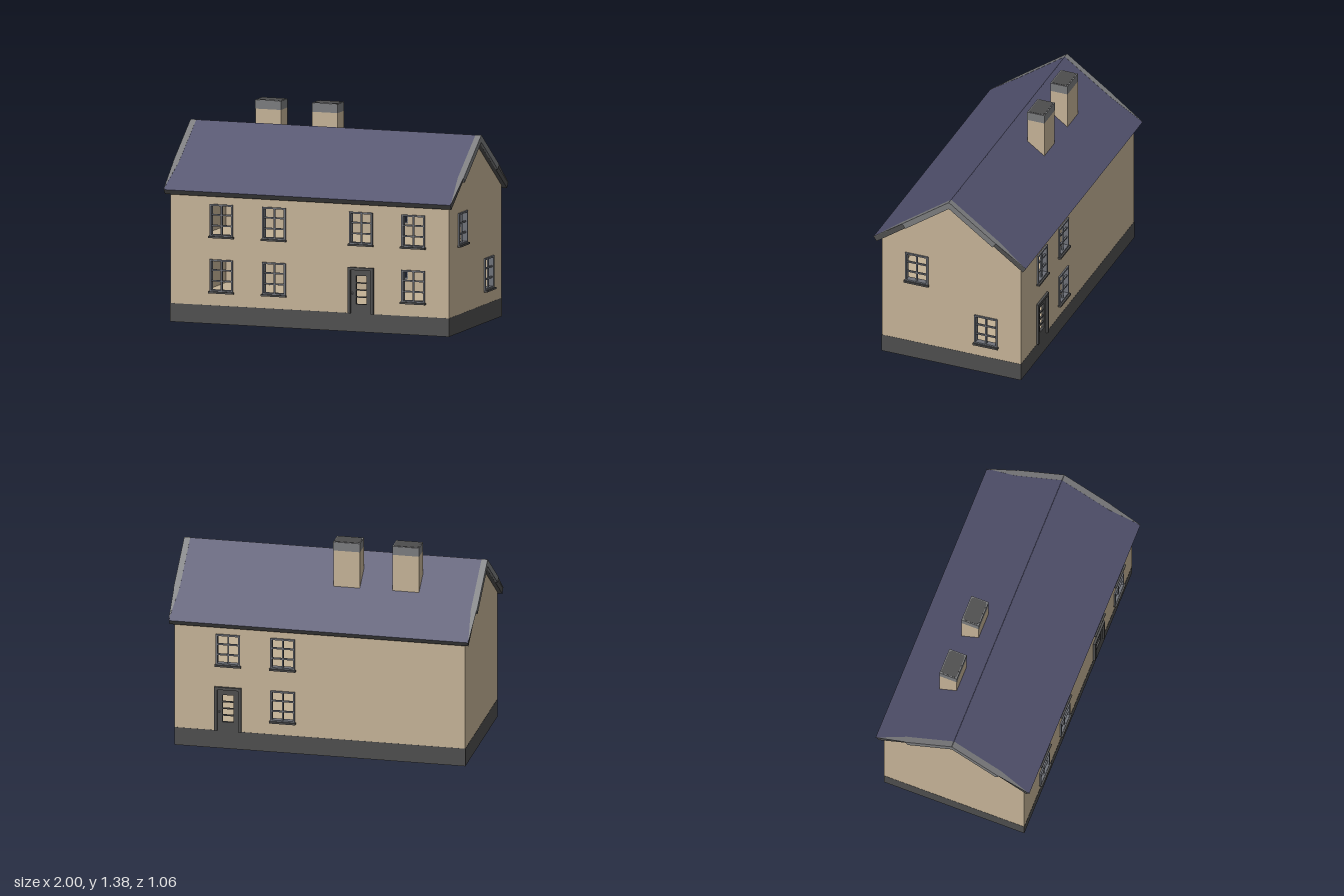
import * as THREE from 'three';

const mat = (name, color, side = THREE.FrontSide) => {
  const m = new THREE.MeshStandardMaterial({ color, side });
  m.name = name;
  return m;
};

export function createModel() {
  const house = new THREE.Group();
  house.name = 'house';
  const render = mat('sand render', 0xc2b094);
  const slate = mat('blue slate', 0x50506c);
  const dark = mat('dark stone', 0x4c4c4c);
  const grey = mat('light grey stone', 0x78797b);
  const frameGrey = mat('window frame grey', 0x6c6f76);

  const HX = 0.958, HZ = 0.484, BASE = 0.12, WALL = 0.03;
  const RIDGE = 1.245, SLOPE = 0.723, EAVE = 0.53;

  const add = (parent, name, geo, material, x = 0, y = 0, z = 0) => {
    const m = new THREE.Mesh(geo, material);
    m.name = name;
    m.position.set(x, y, z);
    parent.add(m);
    return m;
  };
  const box = (parent, name, material, w, h, d, x, y, z) =>
    add(parent, name, new THREE.BoxGeometry(w, h, d), material, x, y, z);
  const poly = (pts) => new THREE.Shape(pts.map(p => new THREE.Vector2(...p)));
  const rect = (x0, y0, x1, y1) => [[x0, y0], [x1, y0], [x1, y1], [x0, y1]];
  // Flat panel with holes, its outer face at z = 0
  const panel = (outline, holes, depth) => {
    const s = poly(outline);
    holes.forEach(h => s.holes.push(poly(h)));
    return new THREE.ExtrudeGeometry(s, { depth, bevelEnabled: false }).translate(0, 0, -depth);
  };

  // Sash window with two columns and three rows of open panes, plus a sill
  const W = 0.16, H = 0.21, B = 0.011;
  const addWindow = (parent, x, y, z) => {
    const g = new THREE.Group();
    g.name = 'window';
    g.position.set(x, y, z);
    parent.add(g);
    add(g, 'windowFrame', panel(rect(-W / 2, 0, W / 2, H),
      [rect(-W / 2 + B, B, W / 2 - B, H - B)], 0.04), frameGrey, 0, 0, 0.01);
    box(g, 'mullion', frameGrey, 0.01, H - 0.01, 0.012, 0, H / 2, -0.004);
    for (const t of [1 / 3, 2 / 3])
      box(g, 'glazingBar', frameGrey, W - 0.01, 0.01, 0.011, 0, H * t, -0.004);
    box(g, 'sill', dark, W + 0.012, 0.012, 0.035, 0, -0.004, 0.0035);
  };

  // Door with a tall barred opening
  const addDoor = (parent, x, z) => {
    const g = new THREE.Group();
    g.name = 'door';
    g.position.set(x, BASE, z);
    parent.add(g);
    add(g, 'doorFrame', panel([[-0.088, 0], [-0.07, 0], [-0.07, 0.282], [0.07, 0.282],
      [0.07, 0], [0.088, 0], [0.088, 0.3], [-0.088, 0.3]], [], 0.045), dark, 0, 0, 0.015);
    add(g, 'doorLeaf', panel(rect(-0.07, 0, 0.07, 0.282),
      [rect(-0.036, 0.06, 0.036, 0.245)], 0.02), dark, 0, 0, 0.002);
    for (const y of [0.106, 0.152, 0.198])
      box(g, 'doorBar', dark, 0.08, 0.008, 0.01, 0, y, -0.006);
    box(g, 'doorHandle', grey, 0.008, 0.014, 0.012, -0.058, 0.13, 0.007);
  };

  // Walls: [name, rotation, half width, outer distance, windows as [x, y], door x]
  const UP = 0.57, LOW = 0.21;
  const eaveTop = RIDGE - 0.045 - SLOPE * HZ;
  const sides = [
    ['frontWall', 0, HX, HZ, [[-0.605, UP], [-0.243, UP], [0.355, UP], [0.714, UP],
      [-0.605, LOW], [-0.243, LOW], [0.714, LOW]], 0.355],
    ['backWall', Math.PI, HX, HZ, [[-0.605, UP], [-0.245, UP], [-0.245, LOW]], -0.605],
    ['leftGable', Math.PI / 2, HZ, HX, [[-0.24, UP], [0.242, LOW]], null],
    ['rightGable', -Math.PI / 2, HZ, HX, [], null],
  ];
  for (const [name, rot, half, dist, windows, doorX] of sides) {
    const g = new THREE.Group();
    g.name = name;
    g.rotation.y = rot;
    house.add(g);
    const outline = rect(-half, BASE, half, eaveTop);
    if (half === HZ) outline.splice(3, 0, [0, RIDGE - 0.045]);
    const holes = windows.map(([x, y]) =>
      rect(x - W / 2 + 0.004, y + 0.004, x + W / 2 - 0.004, y + H - 0.004));
    if (doorX !== null) holes.push(rect(doorX - 0.08, BASE + 0.004, doorX + 0.08, BASE + 0.292));
    add(g, name + 'Panel', panel(outline, holes, WALL), render, 0, 0, dist);
    windows.forEach(([x, y]) => addWindow(g, x, y, dist));
    if (doorX !== null) addDoor(g, doorX, dist);
  }

  // Plinth ring, open underneath, and the inner floors
  const plinth = add(house, 'plinth', panel(rect(-HX - 0.001, -HZ - 0.001, HX + 0.001, HZ + 0.001),
    [rect(-HX + 0.008, -HZ + 0.008, HX - 0.008, HZ - 0.008)], BASE), dark, 0, BASE, 0);
  plinth.rotation.x = -Math.PI / 2;
  for (const y of [BASE + 0.001, 0.49, 0.83])
    box(house, 'floor', render, 2 * HX - 0.02, 0.008, 2 * HZ - 0.02, 0, y, 0);

  // Roof slab
  const RX = 0.985, angle = Math.atan(SLOPE), len = EAVE / Math.cos(angle);
  const eaveY = RIDGE - SLOPE * EAVE, inZ = EAVE - 0.021, inY = RIDGE - 0.045 - SLOPE * inZ;
  const roof = add(house, 'roofSlab', new THREE.ExtrudeGeometry(poly([[0, RIDGE], [-EAVE, eaveY],
    [-inZ, inY], [0, RIDGE - 0.045], [inZ, inY], [EAVE, eaveY]]),
  { depth: 2 * RX, bevelEnabled: false }), dark, -RX, 0, 0);
  roof.rotation.y = Math.PI / 2;

  // Slate covering and verge trim on each slope
  for (const turn of [0, Math.PI]) {
    const half = new THREE.Group();
    half.name = 'roofSlope';
    half.position.y = RIDGE;
    half.rotation.set(angle, turn, 0, 'YXZ');
    house.add(half);
    box(half, 'slates', slate, 2 * RX, 0.003, len, 0, 0.0005, len / 2);
    for (const s of [-1, 1]) {
      box(half, 'vergeTrim', grey, 0.04, 0.039, 0.4, s * 0.98, -0.0165, 0.2);
      const taper = add(half, 'vergeTaper', panel(s > 0
        ? [[0.96, -0.4], [0.988, -len], [0.998, -0.4]]
        : [[-0.96, -0.4], [-0.998, -0.4], [-0.988, -len]], [], 0.004), grey, 0, 0.003, 0);
      taper.rotation.x = -Math.PI / 2;
    }
  }

  // Chimneys behind the ridge
  for (const x of [-0.512, -0.122]) {
    box(house, 'chimneyStack', render, 0.175, 0.32, 0.118, x, 1.16, -0.18);
    box(house, 'chimneyCap', grey, 0.177, 0.058, 0.12, x, 1.349, -0.18);
    const a = 0.082, b = 0.053, c = 0.012;
    const lid = add(house, 'chimneyTop', panel([[-a + c, -b], [a - c, -b], [a, -b + c], [a, b - c],
      [a - c, b], [-a + c, b], [-a, b - c], [-a, -b + c]], [], 0.004), dark, x, 1.38, -0.18);
    lid.rotation.x = -Math.PI / 2;
  }
  return house;
}
